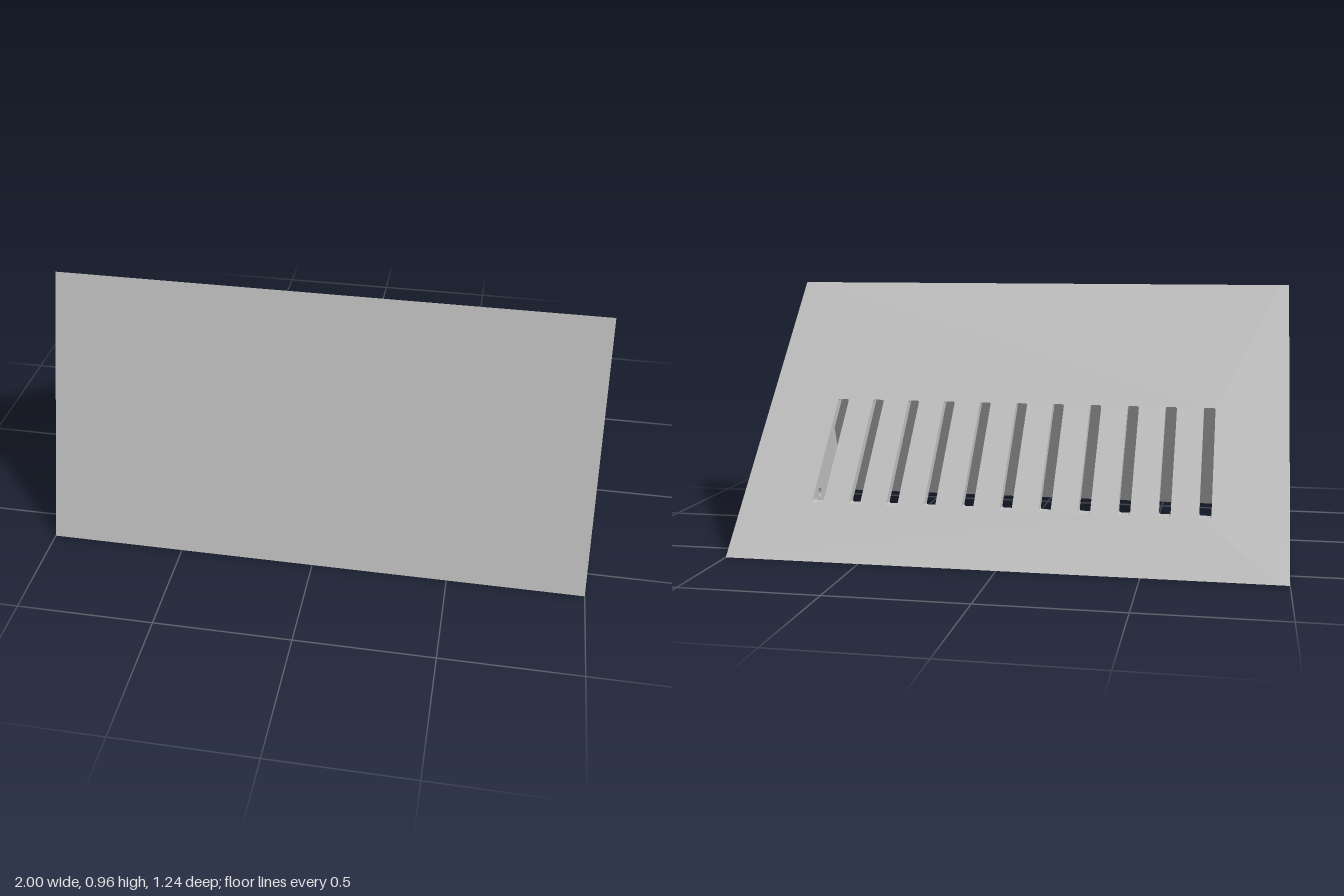
import * as THREE from 'three';
import { toCreasedNormals } from 'three/addons/utils/BufferGeometryUtils.js';

const HEIGHT = 0.963;
const RIDGE_Z = 0.27, FRONT_Z = 0.62, BACK_Z = -0.62;
const WALL = 0.033;             // end wall thickness
const BACK_DEPTH = 0.045;       // horizontal thickness of the sloping panels
const FRONT_DEPTH = 0.035;
const backSlope = (RIDGE_Z - BACK_Z) / HEIGHT;
const frontSlope = (RIDGE_Z - FRONT_Z) / HEIGHT;
// height of the inner ridge, where the inner faces of the panels meet
const INNER_TOP = HEIGHT * (1 - (BACK_DEPTH + FRONT_DEPTH) / (FRONT_Z - BACK_Z));

// Upright slot with rounded corners; r = half the width gives a full stadium
function slot(cx, y0, y1, width, r) {
  const x0 = cx - width / 2, x1 = cx + width / 2;
  const p = new THREE.Path();
  p.moveTo(x0, y0 + r);
  p.lineTo(x0, y1 - r);
  p.absarc(x0 + r, y1 - r, r, Math.PI, Math.PI / 2, true);
  p.lineTo(x1 - r, y1);
  p.absarc(x1 - r, y1 - r, r, Math.PI / 2, 0, true);
  p.lineTo(x1, y0 + r);
  p.absarc(x1 - r, y0 + r, r, 0, -Math.PI / 2, true);
  p.lineTo(x0 + r, y0);
  p.absarc(x0 + r, y0 + r, r, -Math.PI / 2, -Math.PI, true);
  return p;
}

function roundHole(x, y, r) {
  return new THREE.Path().absarc(x, y, r, 0, Math.PI * 2, true);
}

// Upright panel leaned over by a shear, mitred along the inner ridge
function panel(holes, depth, baseZ, slope, innerIsFront) {
  const w = 1 - WALL;
  const shape = new THREE.Shape([
    new THREE.Vector2(-w, 0), new THREE.Vector2(w, 0),
    new THREE.Vector2(w, HEIGHT), new THREE.Vector2(-w, HEIGHT),
  ]);
  shape.holes.push(...holes);
  const geo = new THREE.ExtrudeGeometry(shape, { depth, bevelEnabled: false, curveSegments: 4 });
  const pos = geo.attributes.position;
  for (let i = 0; i < pos.count; i++) {
    const inner = (pos.getZ(i) > depth / 2) === innerIsFront;
    const y = inner ? Math.min(pos.getY(i), INNER_TOP) : pos.getY(i);
    const z = pos.getZ(i) - (innerIsFront ? 0 : depth);
    pos.setXYZ(i, pos.getX(i), y, z + baseZ + slope * y);
  }
  geo.computeVertexNormals();
  return geo;
}

// Triangular end wall with a hand slot and two screw holes
function endWall(slotBottom) {
  const shape = new THREE.Shape([
    new THREE.Vector2(BACK_Z, 0), new THREE.Vector2(FRONT_Z, 0),
    new THREE.Vector2(RIDGE_Z, HEIGHT),
  ]);
  shape.holes.push(
    slot(0.155, slotBottom, slotBottom + 0.388, 0.166, 0.0829),
    roundHole(0.267, 0.053, 0.019),
    roundHole(-0.342, 0.053, 0.019),
  );
  const geo = new THREE.ExtrudeGeometry(shape, { depth: WALL, bevelEnabled: false, curveSegments: 20 });
  geo.rotateY(-Math.PI / 2);
  return toCreasedNormals(geo, 0.6);
}

export function createModel() {
  const model = new THREE.Group();
  model.name = 'wedgeCover';
  const grey = new THREE.MeshStandardMaterial({ color: 0xc0c0c0 });
  grey.name = 'lightGrey';

  const add = (name, geo, x = 0) => {
    const mesh = new THREE.Mesh(geo, grey);
    mesh.name = name;
    mesh.position.x = x;
    model.add(mesh);
  };

  // Row of vent slots through the back panel
  const vents = [];
  for (let i = -5; i <= 5; i++) vents.push(slot(i * 0.1418 - 0.002, 0.178, 0.523, 0.043, 0.007));

  add('backPanel', panel(vents, BACK_DEPTH, BACK_Z, backSlope, true));
  add('frontPanel', panel([], FRONT_DEPTH, FRONT_Z, frontSlope, false));
  add('leftEndWall', endWall(0.062), 1);
  add('rightEndWall', endWall(0.285), -1 + WALL);
  return model;
}
